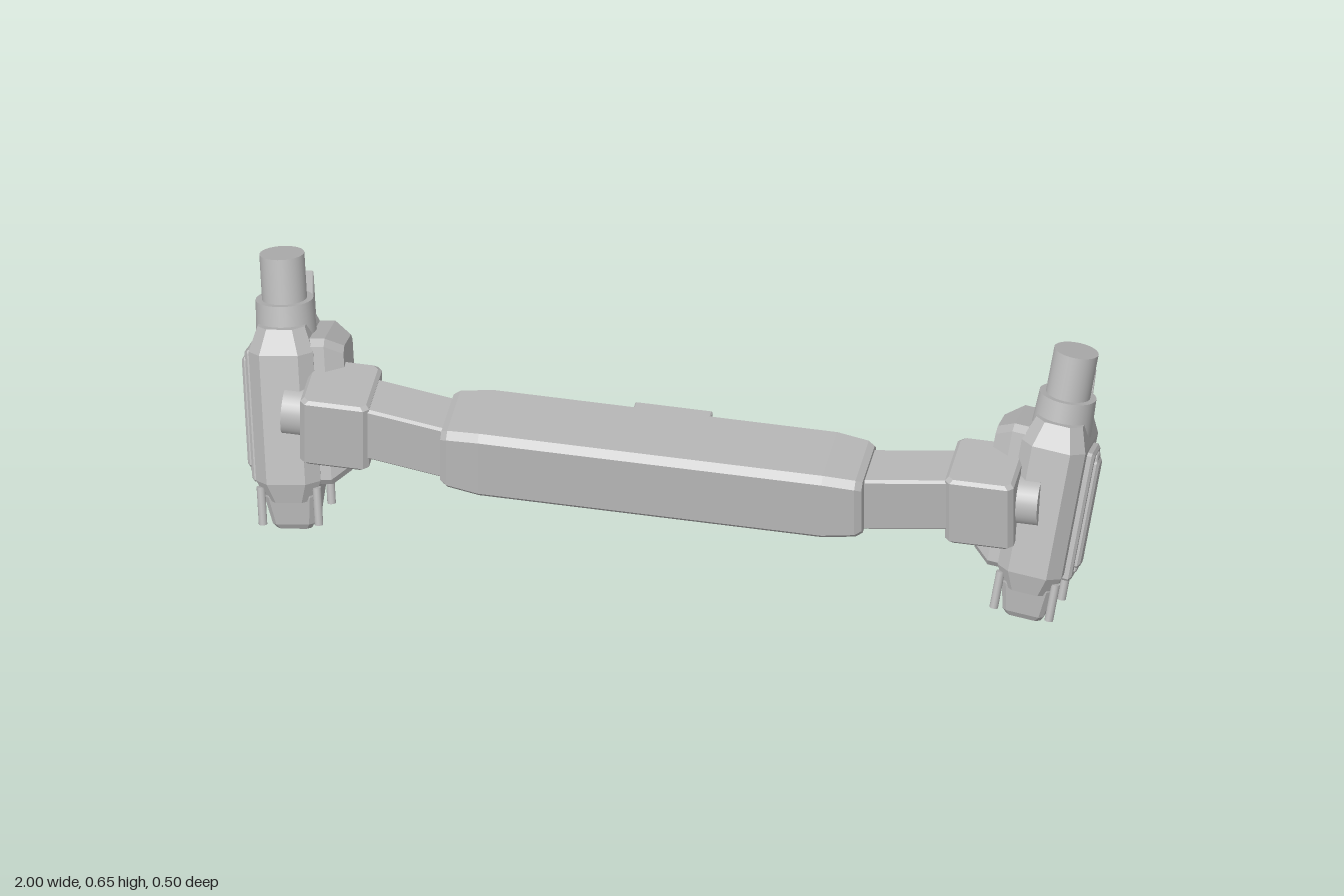
import * as THREE from 'three';

const grey = new THREE.MeshStandardMaterial({ color: 0xb6b6b6 });
grey.name = 'light grey';
const Q = Math.PI / 2;

// Stack of chamfered rectangles along y; each ring is [y, halfX, halfZ, chamfer, offsetZ]
function loft(rings) {
  const pos = [], n = 8;
  const rows = rings.map(([y, w, d, c, oz = 0]) => [
    [w, d - c], [w, c - d], [w - c, -d], [c - w, -d], [-w, c - d], [-w, d - c], [c - w, d], [w - c, d],
  ].map(([x, z]) => [x, y, z + oz]));
  const tri = (...pts) => pts.forEach((p) => pos.push(...p));
  for (let r = 0; r < rows.length - 1; r++) {
    const a = rows[r], b = rows[r + 1];
    for (let i = 0; i < n; i++) {
      const j = (i + 1) % n;
      tri(a[i], a[j], b[j]);
      tri(a[i], b[j], b[i]);
    }
  }
  const lo = rows[0], hi = rows[rows.length - 1];
  for (let i = 1; i < n - 1; i++) {
    tri(hi[0], hi[i], hi[i + 1]);
    tri(lo[0], lo[i + 1], lo[i]);
  }
  const g = new THREE.BufferGeometry();
  g.setAttribute('position', new THREE.Float32BufferAttribute(pos, 3));
  g.computeVertexNormals();
  return g;
}

// Block from y = 0 to h with a bevelled top edge
const plate = (w, d, h, b = 0.006) =>
  loft([[0, w, d, b], [h - b, w, d, b], [h, w - b, d - b, b]]);

function add(parent, name, geometry, position = [0, 0, 0], rotation = [0, 0, 0]) {
  const m = new THREE.Mesh(geometry, grey);
  m.name = name;
  m.position.set(...position);
  m.rotation.set(...rotation);
  parent.add(m);
  return m;
}

function makePod(s) {
  const pod = new THREE.Group();
  pod.name = s > 0 ? 'leftPod' : 'rightPod';
  pod.position.set(0.88 * s, 0.28, 0.02);
  pod.rotation.set(-0.315, 0, -0.12 * s);

  // Main housing with chamfered shoulders
  add(pod, 'podBody', loft([
    [-0.2, 0.055, 0.088, 0.025], [-0.15, 0.075, 0.107, 0.03],
    [0.16, 0.075, 0.107, 0.03], [0.215, 0.055, 0.082, 0.025],
  ]));
  // Collar and post
  add(pod, 'collar', new THREE.CylinderGeometry(0.066, 0.07, 0.09, 32), [0, 0.219, 0]);
  add(pod, 'post', new THREE.CylinderGeometry(0.0515, 0.0515, 0.17, 32), [0, 0.287, 0]);
  // Foot and its four pegs
  add(pod, 'foot', loft([
    [-0.276, 0.04, 0.046, 0.01], [-0.262, 0.048, 0.058, 0.01],
    [-0.19, 0.06, 0.08, 0.012], [-0.155, 0.06, 0.08, 0.012],
  ]));
  for (const x of [-0.065, 0.065]) for (const z of [-0.077, 0.077])
    add(pod, 'footPeg', new THREE.CylinderGeometry(0.01, 0.01, 0.09, 12), [x, -0.21, z]);
  // Layered panel on the outer side
  const out = [0, 0, -s * Q];
  add(pod, 'sidePanel', plate(0.158, 0.043, 0.022), [0.07 * s, -0.008, 0], out);
  add(pod, 'sidePanelRidge', plate(0.132, 0.025, 0.012), [0.092 * s, -0.005, 0], out);
  add(pod, 'sidePanelTab', plate(0.145, 0.018, 0.006, 0.003), [0.092 * s, -0.005, 0], out);
  // Block on the inner side
  add(pod, 'innerBlock', loft([
    [0.05, 0.175, 0.08, 0.015], [0.1, 0.175, 0.08, 0.015], [0.14, 0.15, 0.055, 0.015],
  ]), [0, 0.012, -0.005], [0, 0, s * Q]);
  // Rear fin
  add(pod, 'fin', loft([
    [0.07, 0.05, 0.195, 0.002, 0.015], [0.204, 0.028, 0.24, 0.002, 0.021],
  ]), [0, 0, 0], [-Q, 0, 0]);
  return pod;
}

export function createModel() {
  const model = new THREE.Group();
  model.name = 'crossbarWithPods';

  // Central grip with tapered ends
  add(model, 'mainBar', loft([
    [-0.49, 0.072, 0.085, 0.015], [-0.475, 0.08, 0.093, 0.016], [-0.4, 0.088, 0.1, 0.016],
    [0.4, 0.088, 0.1, 0.016], [0.475, 0.08, 0.093, 0.016], [0.49, 0.072, 0.085, 0.015],
  ]), [0, 0.349, 0.149], [0, 0, -Q]);

  // Raised fittings on the back of the bar
  const back = [-Q, 0, 0];
  add(model, 'centreBase', plate(0.11, 0.05, 0.055, 0.012), [0, 0.345, 0.055], back);
  add(model, 'centreBlock', plate(0.09, 0.03, 0.045, 0.003), [0, 0.345, 0.008], back);
  for (const s of [-1, 1]) {
    add(model, 'backPlate', plate(0.075, 0.04, 0.012, 0.004), [0.31 * s, 0.348, 0.052], back);
    add(model, 'backRail', plate(0.108, 0.02, 0.025), [0.31 * s, 0.345, 0.052], back);
  }

  for (const s of [-1, 1]) {
    // Angled arm, connector and pivot
    add(model, 'arm', loft([
      [-0.14, 0.07, 0.062, 0.006], [0.14, 0.07, 0.062, 0.006],
    ]), [0.59 * s, 0.34, 0.118], [0, 0.19 * s, -Q]);
    add(model, 'connector', loft([
      [-0.09, 0.072, 0.08, 0.012], [-0.082, 0.08, 0.087, 0.012],
      [0.082, 0.08, 0.087, 0.012], [0.09, 0.072, 0.08, 0.012],
    ]), [0.75 * s, 0.33, 0.087]);
    add(model, 'pivot', new THREE.CylinderGeometry(0.06, 0.06, 0.08, 32), [0.84 * s, 0.33, 0.085], [0, 0, Q]);
    model.add(makePod(s));
  }
  return model;
}
